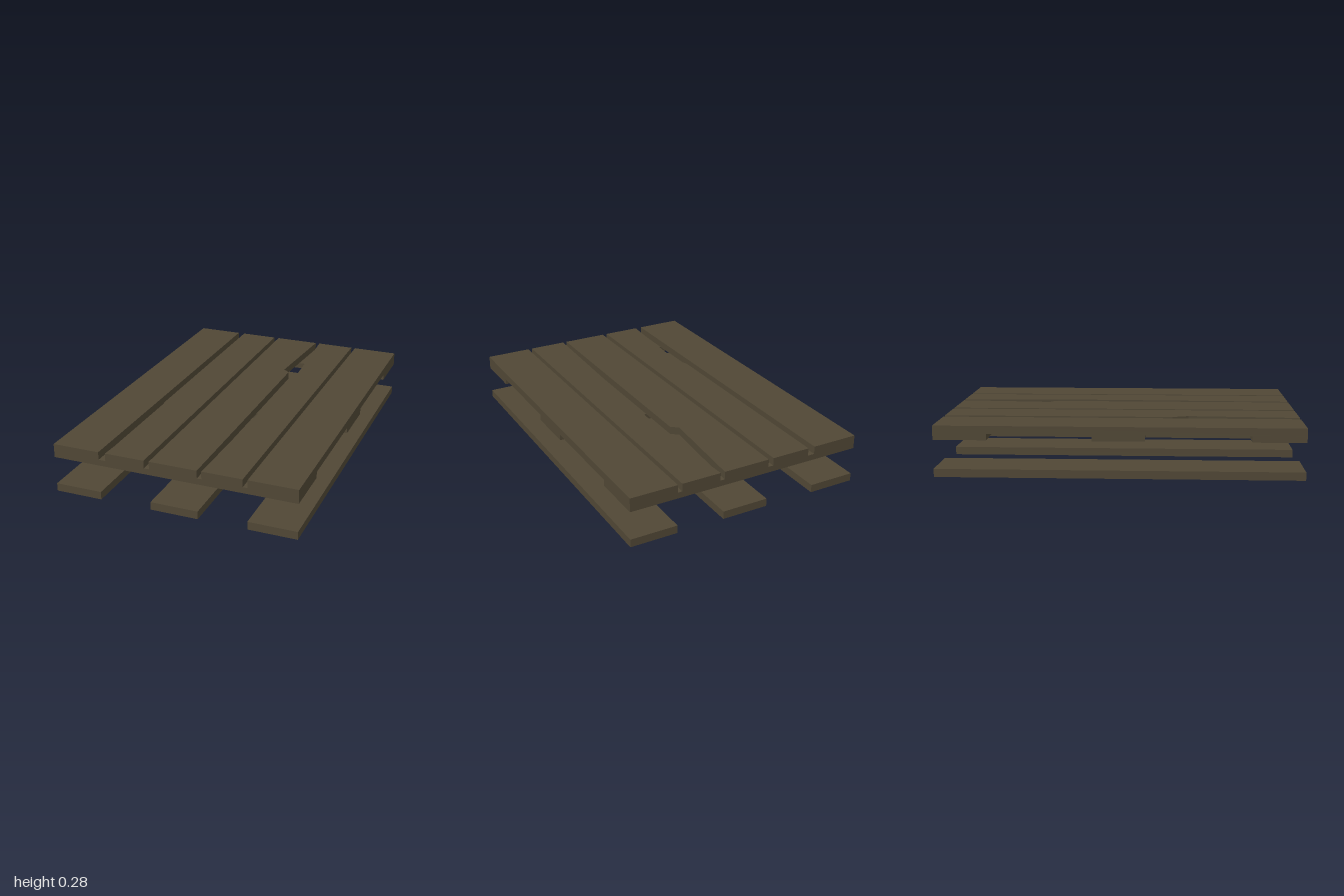
import * as THREE from 'three';

export function createModel() {
  const group = new THREE.Group();
  const wood = new THREE.MeshStandardMaterial({ color: 0x504735 });
  wood.name = 'weatheredWood';

  // Board cut from an outline of [x, z] points, spanning y0 to y1
  function board(name, points, y0, y1) {
    const shape = new THREE.Shape(points.map(([x, z]) => new THREE.Vector2(x, z)));
    const geometry = new THREE.ExtrudeGeometry(shape, { depth: y1 - y0, bevelEnabled: false });
    geometry.rotateX(Math.PI / 2);
    geometry.translate(0, y1, 0);
    const mesh = new THREE.Mesh(geometry, wood);
    mesh.name = name;
    group.add(mesh);
  }
  const rect = (x0, x1, z0, z1) => [[x0, z0], [x1, z0], [x1, z1], [x0, z1]];

  // Bottom runners
  [[-0.69, -0.42], [-0.125, 0.145], [0.42, 0.69]].forEach(([a, b], i) =>
    board(`bottomBoard${i + 1}`, rect(a, b, -1, 1), 0, 0.045));

  // Cross boards under the deck
  [[-1, -0.71], [-0.145, 0.14], [0.71, 1]].forEach(([a, b], i) =>
    board(`crossBoard${i + 1}`, rect(-0.69, 0.69, a, b), 0.205, 0.239));

  // Deck planks, three of them with splintered edges
  const planks = [
    rect(-0.69, -0.42, -1, 1),
    [[-0.38, -1], [-0.155, -1], [-0.155, 1], [-0.38, 1], [-0.347, 0.38], [-0.38, 0.29]],
    [[-0.125, -1], [0.145, -1], [0.105, -0.46], [0.145, -0.43], [0.145, 1], [-0.125, 1]],
    [[0.17, -1], [0.395, -1], [0.395, 1], [0.17, 1], [0.205, -0.42]],
    rect(0.42, 0.69, -1, 1),
  ];
  planks.forEach((points, i) => board(`deckPlank${i + 1}`, points, 0.239, 0.283));

  return group;
}
